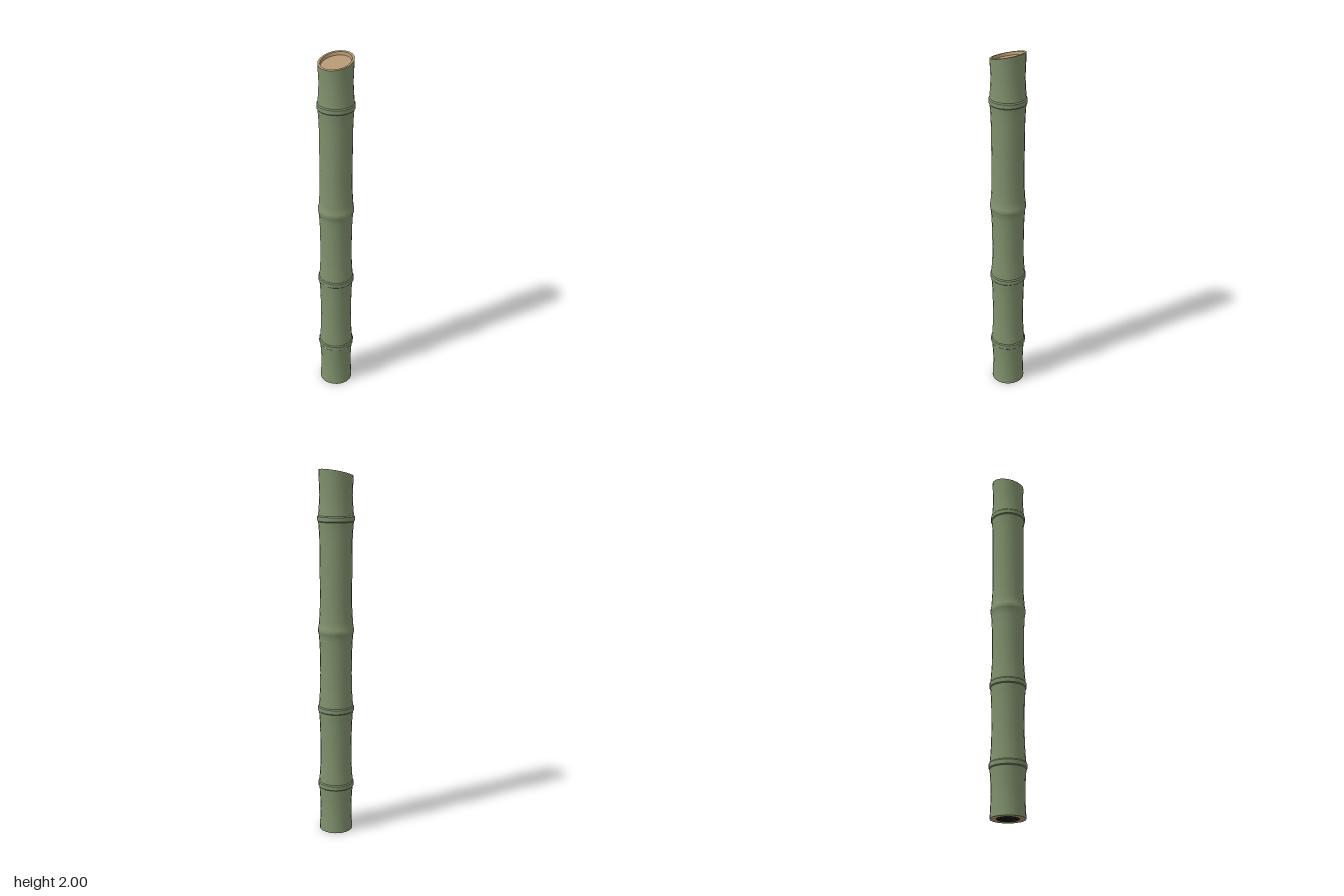
import * as THREE from 'three';
import { toCreasedNormals } from 'three/addons/utils/BufferGeometryUtils.js';

const SIDES = 20;
const green = new THREE.MeshStandardMaterial({ color: 0x80916d });
green.name = 'cane green';
const tan = new THREE.MeshStandardMaterial({ color: 0xb39672 });
tan.name = 'cut wood tan';
const dark = new THREE.MeshStandardMaterial({ color: 0x0c0b09 });
dark.name = 'hollow dark';

// Turned part from [radius, y] points; the top end is sheared into a slanted cut
function turned(name, points, material) {
  const geo = new THREE.LatheGeometry(
    points.map(([r, y]) => new THREE.Vector2(r, y)), SIDES, Math.PI / SIDES);
  const p = geo.attributes.position;
  for (let i = 0; i < p.count; i++) {
    if (p.getY(i) > 1.9) p.setY(i, p.getY(i) - p.getZ(i) * 0.245);
  }
  const mesh = new THREE.Mesh(toCreasedNormals(geo, 0.6), material);
  mesh.name = name;
  return mesh;
}

export function createModel() {
  const group = new THREE.Group();
  group.name = 'bambooCane';

  // Stalk: slim segments that flare towards each ridged node
  const nodes = [[0.27, 0.099], [0.71, 0.099], [1.15, 0.097], [1.745, 0.099]];
  const profile = [[0.092, 0], [0.089, 0.06], [0.087, 0.12]];
  for (const [y, r] of nodes) {
    profile.push(
      [0.088, y - 0.11], [0.091, y - 0.05], [0.094, y - 0.017],
      [r, y - 0.012], [r, y + 0.01], [0.094, y + 0.016],
      [0.091, y + 0.05], [0.087, y + 0.12]);
    if (y < 1.7) profile.push([0.086, y + 0.2]);
  }
  profile.push([0.0915, 1.978]);
  group.add(turned('stalk', profile, green));

  // Slanted top cut: rim, shallow inner wall and floor
  group.add(turned('topCut',
    [[0.0915, 1.978], [0.08, 1.978], [0.077, 1.962], [0, 1.962]], tan));

  // Bottom cut ring and the hollow inside it
  group.add(turned('bottomCut', [[0.058, 0], [0.092, 0]], tan));
  group.add(turned('bottomHollow', [[0, 0.06], [0.058, 0.06], [0.058, 0]], dark));

  return group;
}
